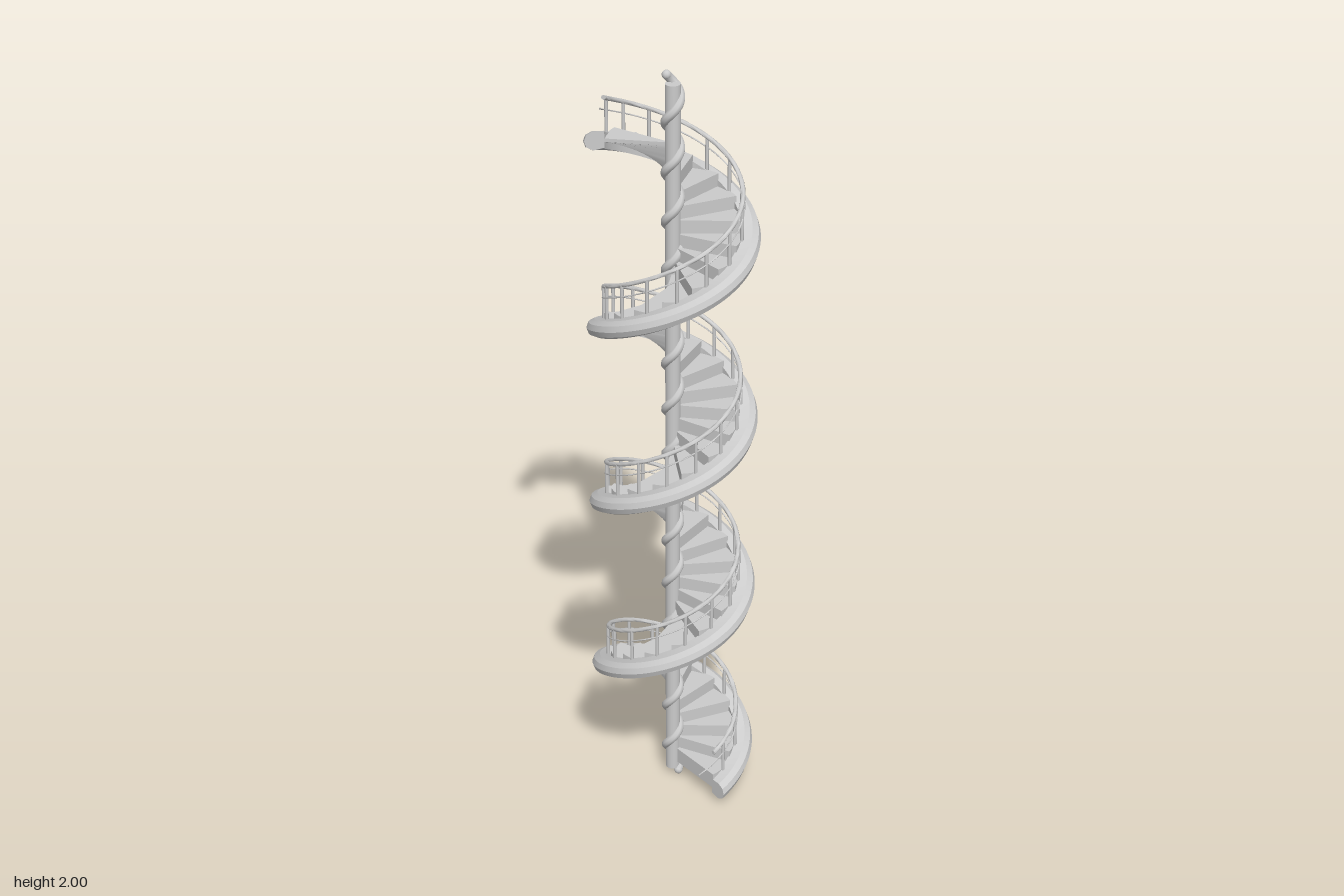
import * as THREE from 'three';
import { toCreasedNormals } from 'three/addons/utils/BufferGeometryUtils.js';

const RAD = Math.PI / 180;
const PITCH = 0.49;
const START = -16 * RAD, STEPS_END = 1286 * RAD, STRINGER_END = 1305 * RAD;
const STEPS = 53;

// Height of the stair helix at a given turn angle
const rise = (a) => 0.065 + PITCH * a / (2 * Math.PI);
const polar = (r, y, a) => new THREE.Vector3(r * Math.cos(a), y, -r * Math.sin(a));

// Sweeps a counter-clockwise (radius, height) section around the axis, with end caps
function sweep(section, from, to, segments, crease = 0.6) {
  const pos = [], index = [];
  const n = section(from).length;
  for (let i = 0; i <= segments; i++) {
    const a = from + (to - from) * i / segments;
    for (const [r, y] of section(a)) pos.push(...polar(r, y, a).toArray());
  }
  for (let i = 0; i < segments; i++) {
    for (let j = 0; j < n; j++) {
      const a = i * n + j, b = i * n + (j + 1) % n;
      index.push(a, a + n, b, b, a + n, b + n);
    }
  }
  const last = segments * n;
  for (let j = 1; j < n - 1; j++) {
    index.push(0, j, j + 1, last, last + j + 1, last + j);
  }
  const geo = new THREE.BufferGeometry();
  geo.setAttribute('position', new THREE.Float32BufferAttribute(pos, 3));
  geo.setIndex(index);
  return toCreasedNormals(geo, crease);
}

// Round section for rails, at radius r and a height above the helix
const round = (r, lift, size, sides) => (a) => Array.from({ length: sides }, (_, k) => {
  const t = k / sides * 2 * Math.PI;
  return [r + size * Math.cos(t), rise(a) + lift + size * Math.sin(t)];
});

class Helix extends THREE.Curve {
  constructor(radius, y0, y1, turns, phase) {
    super();
    Object.assign(this, { radius, y0, y1, turns, phase });
  }
  getPoint(t, target = new THREE.Vector3()) {
    const a = this.phase + t * this.turns * 2 * Math.PI;
    return target.copy(polar(this.radius, this.y0 + (this.y1 - this.y0) * t, a));
  }
}

export function createModel() {
  const model = new THREE.Group();
  const grey = new THREE.MeshStandardMaterial({ color: 0xcccccc });
  const add = (name, geo, parent = model) => {
    const mesh = new THREE.Mesh(geo, grey);
    mesh.name = name;
    parent.add(mesh);
    return mesh;
  };

  // Central column
  const column = add('column', new THREE.CylinderGeometry(0.019, 0.019, 1.95, 16));
  column.position.y = 0.995;

  // Rope winding up the column, with rounded ends
  const path = new Helix(0.018, 0.012, 1.988, 15.5, 0);
  add('columnRope', new THREE.TubeGeometry(path, 400, 0.0115, 8));
  for (const t of [0, 1]) {
    add('ropeEnd', new THREE.SphereGeometry(0.0115, 10, 8)).position.copy(path.getPoint(t));
  }

  // Wedge steps: flat tread above, continuous spiral soffit below
  const steps = new THREE.Group();
  steps.name = 'steps';
  model.add(steps);
  const stepAngle = (STEPS_END - START) / STEPS;
  for (let i = 0; i < STEPS; i++) {
    const a0 = START + i * stepAngle, a1 = a0 + stepAngle;
    const top = rise(a1) + 0.006;
    const wedge = (a) => {
      const under = rise(a) - 0.003;
      return [[0.014, under], [0.166, under], [0.166, top], [0.014, top]];
    };
    add('step', sweep(wedge, a0, a1, 5), steps);
  }

  // Outer stringer with a rounded outside edge
  const profile = [[0.162, -0.02], [0.188, -0.025], [0.205, -0.016], [0.21, -0.001],
    [0.205, 0.014], [0.19, 0.023], [0.162, 0.023]];
  add('stringer', sweep((a) => profile.map(([r, y]) => [r, rise(a) + y]),
    START, STRINGER_END, 260, 0.5));

  // Handrail and the thin rail beneath it
  add('handrail', sweep(round(0.166, 0.11, 0.006, 8), START, 1282 * RAD, 240, 1));
  add('thinRail', sweep(round(0.17, 0.08, 0.002, 6), -32 * RAD, 1302 * RAD, 200, 1.2));

  // Balusters, one per step
  const balusters = new THREE.Group();
  balusters.name = 'balusters';
  model.add(balusters);
  const post = new THREE.CylinderGeometry(0.0045, 0.0045, 0.095, 8);
  for (let i = 0; i < STEPS; i++) {
    const a = START + (i + 0.5) * stepAngle;
    add('baluster', post, balusters).position.copy(polar(0.168, rise(a) + 0.0625, a));
  }

  return model;
}
